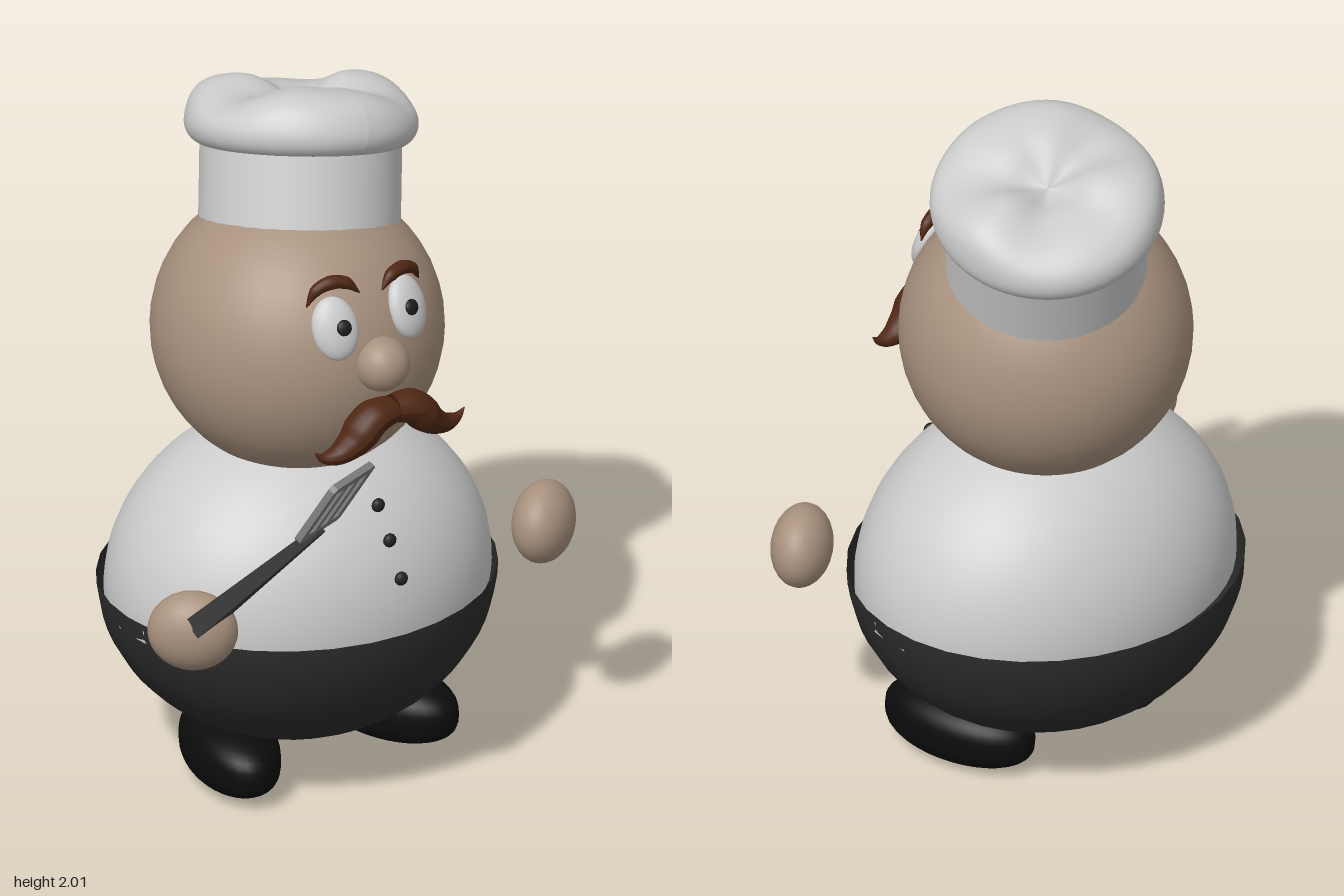
import * as THREE from 'three';

const V = (x, y, z) => new THREE.Vector3(x, y, z);
const WHITE = 0xcccccc, SKIN = 0xa8917e, BROWN = 0x4f2713, DARK = 0x2b2b2b, BLACK = 0x0c0c0c;

function part(parent, name, geometry, color, pos = [0, 0, 0], side = THREE.FrontSide) {
  const mesh = new THREE.Mesh(geometry, new THREE.MeshStandardMaterial({ color, side }));
  mesh.name = name;
  mesh.position.set(...pos);
  parent.add(mesh);
  return mesh;
}

function ball(parent, name, color, pos, [rx, ry, rz], seg = 32) {
  return part(parent, name, new THREE.SphereGeometry(1, seg, seg / 2).scale(rx, ry, rz), color, pos);
}

// Tube along points [x, y, z, radius] whose radius follows the fourth value
function taperedTube(points, depth = 1) {
  const curve = new THREE.CatmullRomCurve3(points.map(p => V(p[0], p[1], p[2])));
  const rings = 32, sides = 16;
  const geo = new THREE.TubeGeometry(curve, rings, 1, sides);
  const pos = geo.attributes.position, v = V(0, 0, 0);
  for (let i = 0; i <= rings; i++) {
    const c = curve.getPointAt(i / rings);
    const f = (i / rings) * (points.length - 1), k = Math.min(Math.floor(f), points.length - 2);
    const r = THREE.MathUtils.lerp(points[k][3], points[k + 1][3], f - k);
    for (let j = 0; j <= sides; j++) {
      const n = i * (sides + 1) + j;
      v.fromBufferAttribute(pos, n).sub(c).multiplyScalar(r);
      v.z *= depth;
      v.add(c);
      pos.setXYZ(n, v.x, v.y, v.z);
    }
  }
  geo.computeVertexNormals();
  return geo;
}

// Orients an object so its y follows `up` and its x lies close to `across`
function orient(obj, up, across) {
  const y = up.clone().normalize();
  const z = across.clone().cross(y).normalize();
  obj.quaternion.setFromRotationMatrix(new THREE.Matrix4().makeBasis(y.clone().cross(z), y, z));
}

// Rounded shoe: a sphere pushed towards a flatter sole and steeper walls
function shoeGeometry() {
  const geo = new THREE.SphereGeometry(1, 32, 24);
  const p = geo.attributes.position;
  for (let i = 0; i < p.count; i++) {
    const y = p.getY(i);
    p.setY(i, Math.sign(y) * Math.abs(y) ** 0.72);
  }
  geo.scale(0.125, 0.1, 0.235);
  geo.computeVertexNormals();
  return geo;
}

function buildHat() {
  const hat = new THREE.Group();
  hat.name = 'hat';
  hat.position.set(0, 1.3, -0.15);
  hat.quaternion.setFromUnitVectors(V(0, 1, 0), V(0.2, 0.945, -0.255).normalize());
  part(hat, 'hatBand', new THREE.CylinderGeometry(0.278, 0.278, 0.29, 32, 1, true), WHITE,
    [0, 0.375, 0], THREE.DoubleSide);

  // Soft crown, dented in the middle with a few folds
  const outline = new THREE.SplineCurve([[0.2, 0.5], [0.27, 0.495], [0.31, 0.52], [0.322, 0.565], [0.3, 0.62],
    [0.24, 0.655], [0.14, 0.668], [0.06, 0.665], [0, 0.665]].map(a => new THREE.Vector2(...a)));
  const profile = outline.getPoints(40);
  profile.forEach(q => { q.x = Math.max(q.x, 0); });
  profile[40].x = 0;
  const geo = new THREE.LatheGeometry(profile, 64);
  const p = geo.attributes.position;
  for (let i = 0; i < p.count; i++) {
    const x = p.getX(i), y = p.getY(i), z = p.getZ(i);
    const r = Math.hypot(x, z), a = Math.atan2(z, x);
    const top = THREE.MathUtils.smoothstep(y, 0.55, 0.65);
    const fold = 0.018 * Math.cos(3 * a + 0.4) + 0.008 * Math.cos(5 * a);
    p.setY(i, y + top * (fold * Math.min(1, r / 0.15) - 0.045 * Math.exp(-((r / 0.1) ** 2))));
  }
  geo.computeVertexNormals();
  part(hat, 'hatCrown', geo, WHITE, [0, 0, 0], THREE.DoubleSide);
  return hat;
}

function buildSpatula() {
  const spatula = new THREE.Group();
  spatula.name = 'spatula';
  const across = V(0.195, -0.025, -0.095).normalize();

  // Handle narrows towards the blade
  const from = V(-0.585, 0.7, 0.225), to = V(-0.405, 1.06, 0.53);
  const length = from.distanceTo(to);
  const geo = new THREE.BoxGeometry(0.11, length, 0.06);
  const p = geo.attributes.position;
  for (let i = 0; i < p.count; i++) {
    if (p.getY(i) > 0) p.setXYZ(i, p.getX(i) * 0.36, p.getY(i), p.getZ(i) * 0.45);
  }
  geo.computeVertexNormals();
  const handle = part(spatula, 'spatulaHandle', geo, 0x383838, from.clone().lerp(to, 0.5).toArray());
  orient(handle, to.clone().sub(from), across);

  // Slotted blade
  const w = 0.108, h = 0.113, c = 0.012;
  const shape = new THREE.Shape([[-w + c, -h], [w - c, -h], [w, -h + c], [w, h - c], [w - c, h], [-w + c, h],
    [-w, h - c], [-w, -h + c]].map(a => new THREE.Vector2(...a)));
  for (const x of [-0.06, 0, 0.06]) {
    shape.holes.push(new THREE.Path([[x - 0.017, -0.085], [x - 0.017, 0.085], [x + 0.017, 0.085],
      [x + 0.017, -0.085]].map(a => new THREE.Vector2(...a))));
  }
  const bladeGeo = new THREE.ExtrudeGeometry(shape, { depth: 0.02, bevelEnabled: false }).translate(0, 0, -0.01);
  const blade = part(spatula, 'spatulaBlade', bladeGeo, 0x808080, [-0.38, 1.152, 0.57]);
  orient(blade, V(0.055, 0.195, 0.105), across);
  return spatula;
}

export function createModel() {
  const model = new THREE.Group();
  model.name = 'chef';

  // Body
  part(model, 'trousers',
    new THREE.SphereGeometry(1, 32, 16, 0, Math.PI * 2, Math.PI / 2, Math.PI / 2).scale(0.565, 0.465, 0.522),
    DARK, [0, 0.56, -0.153], THREE.DoubleSide);
  part(model, 'shirt',
    new THREE.SphereGeometry(1, 48, 24, 0, Math.PI * 2, 0, Math.PI * 0.53).scale(0.562, 0.49, 0.465),
    WHITE, [0, 0.55, -0.15], THREE.DoubleSide);
  [[0.9, 0.235], [0.815, 0.29], [0.72, 0.345]].forEach(([y, z], i) =>
    ball(model, 'button' + (i + 1), 0x222222, [0, y, z], [0.02, 0.02, 0.015], 16));

  // Head
  ball(model, 'head', SKIN, [0, 1.3, -0.152], [0.405, 0.405, 0.405], 48);
  ball(model, 'nose', SKIN, [0, 1.34, 0.253], [0.077, 0.077, 0.077]);
  model.add(buildHat());

  // Paired parts
  for (const s of [1, -1]) {
    const label = s > 0 ? 'left' : 'right';
    const eye = ball(model, label + 'Eye', 0xe0e0e0, [0.12 * s, 1.46, 0.2], [0.066, 0.09, 0.036]);
    eye.rotation.set(-0.38, 0.28 * s, 0);
    ball(model, label + 'Pupil', 0x1c1c1c, [0.113 * s, 1.473, 0.233], [0.023, 0.023, 0.012], 16)
      .rotation.set(-0.38, 0.2 * s, 0);

    part(model, label + 'Moustache', taperedTube([[0, 1.222, 0.3, 0.038], [0.065 * s, 1.212, 0.3, 0.048],
      [0.13 * s, 1.153, 0.297, 0.05], [0.18 * s, 1.127, 0.293, 0.037], [0.225 * s, 1.13, 0.29, 0.022],
      [0.25 * s, 1.152, 0.29, 0.001]], 1.15), BROWN, [0, 0, 0], THREE.DoubleSide);

    const hand = ball(model, label + 'Hand', SKIN, [0.587 * s, 0.665, 0.187], [0.125, 0.115, 0.085]);
    hand.rotation.y = 0.67 * s;

    const shoe = part(model, label + 'Shoe', shoeGeometry(), BLACK, [0.262 * s, 0.1, -0.1]);
    shoe.rotation.y = 0.28 * s;
  }

  // Eyebrows, the right one raised
  const brows = {
    leftEyebrow: [[0.04, 1.53, 0.195, 0.002], [0.075, 1.56, 0.185, 0.018], [0.12, 1.567, 0.172, 0.02],
      [0.165, 1.55, 0.162, 0.016], [0.19, 1.51, 0.155, 0.002]],
    rightEyebrow: [[-0.035, 1.545, 0.195, 0.002], [-0.07, 1.578, 0.182, 0.018], [-0.11, 1.586, 0.17, 0.02],
      [-0.155, 1.57, 0.16, 0.016], [-0.185, 1.525, 0.155, 0.002]],
  };
  for (const [name, points] of Object.entries(brows)) part(model, name, taperedTube(points), BROWN);

  model.add(buildSpatula());
  return model;
}
